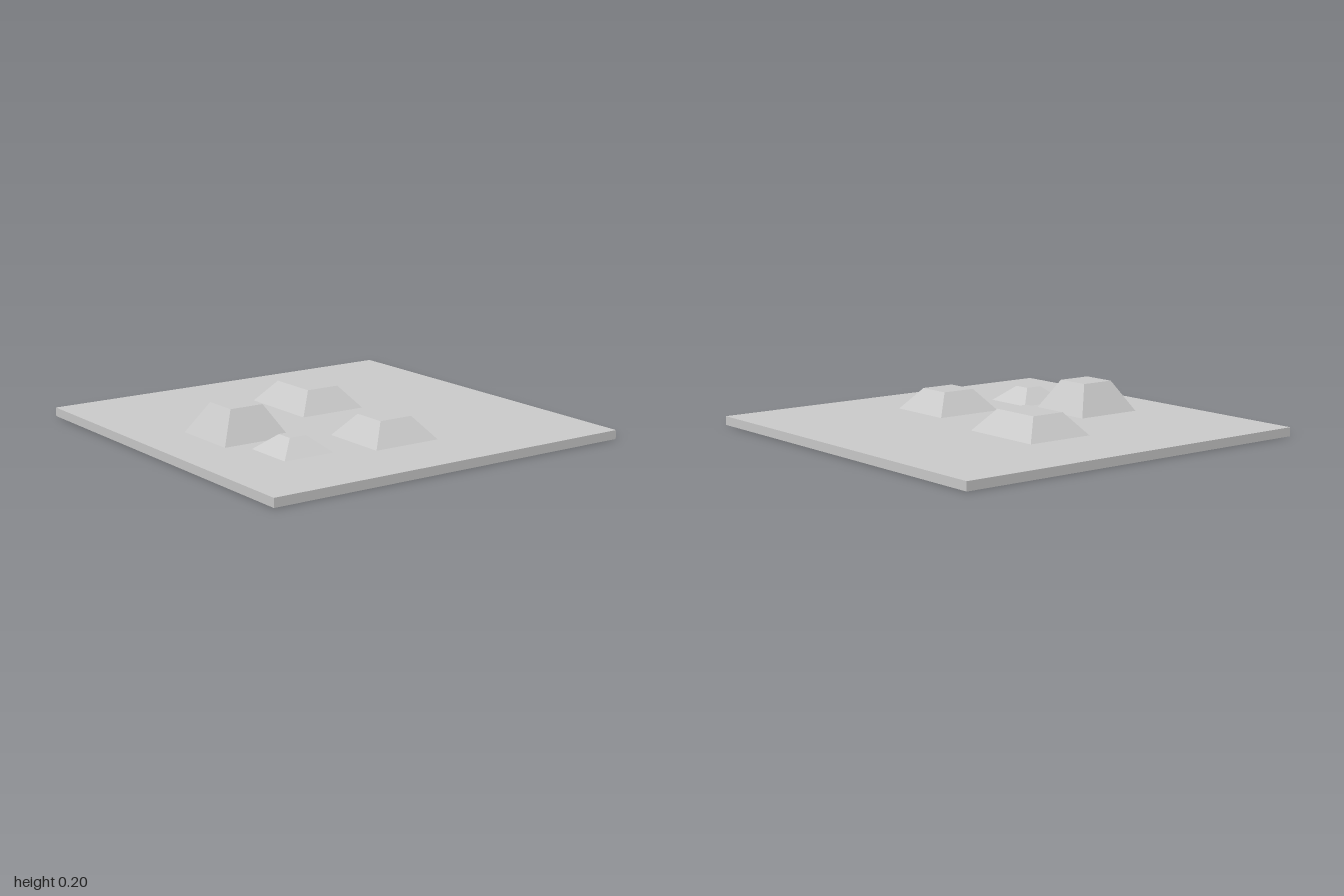
import * as THREE from 'three';

const BASE_HEIGHT = 0.045;
const INSET = 0.091; // horizontal run of every sloped side

// Box whose top face is drawn in by INSET on all four sides
function moundGeometry(width, height, depth) {
  const box = new THREE.BoxGeometry(width, height, depth);
  box.translate(0, height / 2, 0);
  const pos = box.attributes.position;
  for (let i = 0; i < pos.count; i++) {
    if (pos.getY(i) < height / 2) continue;
    pos.setX(i, pos.getX(i) - Math.sign(pos.getX(i)) * INSET);
    pos.setZ(i, pos.getZ(i) - Math.sign(pos.getZ(i)) * INSET);
  }
  box.computeVertexNormals();
  return box;
}

export function createModel() {
  const model = new THREE.Group();
  model.name = 'terrainTile';
  const material = new THREE.MeshStandardMaterial({ color: 0xcccccc, flatShading: true });

  // Flat square ground slab
  const base = new THREE.Mesh(new THREE.BoxGeometry(2, BASE_HEIGHT, 2), material);
  base.name = 'groundSlab';
  base.position.y = BASE_HEIGHT / 2;
  model.add(base);

  // Flat-topped mounds: footprint edges and top height
  const mounds = [
    { name: 'wideMound', x: [-0.545, -0.091], z: [-0.273, 0.091], top: 0.155 },
    { name: 'leftMound', x: [0.273, 0.636], z: [-0.182, 0.182], top: 0.155 },
    { name: 'tallMound', x: [-0.182, 0.182], z: [0.364, 0.727], top: 0.2 },
    { name: 'smallMound', x: [0.273, 0.545], z: [0.364, 0.636], top: 0.123 },
  ];
  for (const { name, x, z, top } of mounds) {
    const mound = new THREE.Mesh(
      moundGeometry(x[1] - x[0], top - BASE_HEIGHT, z[1] - z[0]),
      material
    );
    mound.name = name;
    mound.position.set((x[0] + x[1]) / 2, BASE_HEIGHT, (z[0] + z[1]) / 2);
    model.add(mound);
  }

  return model;
}
